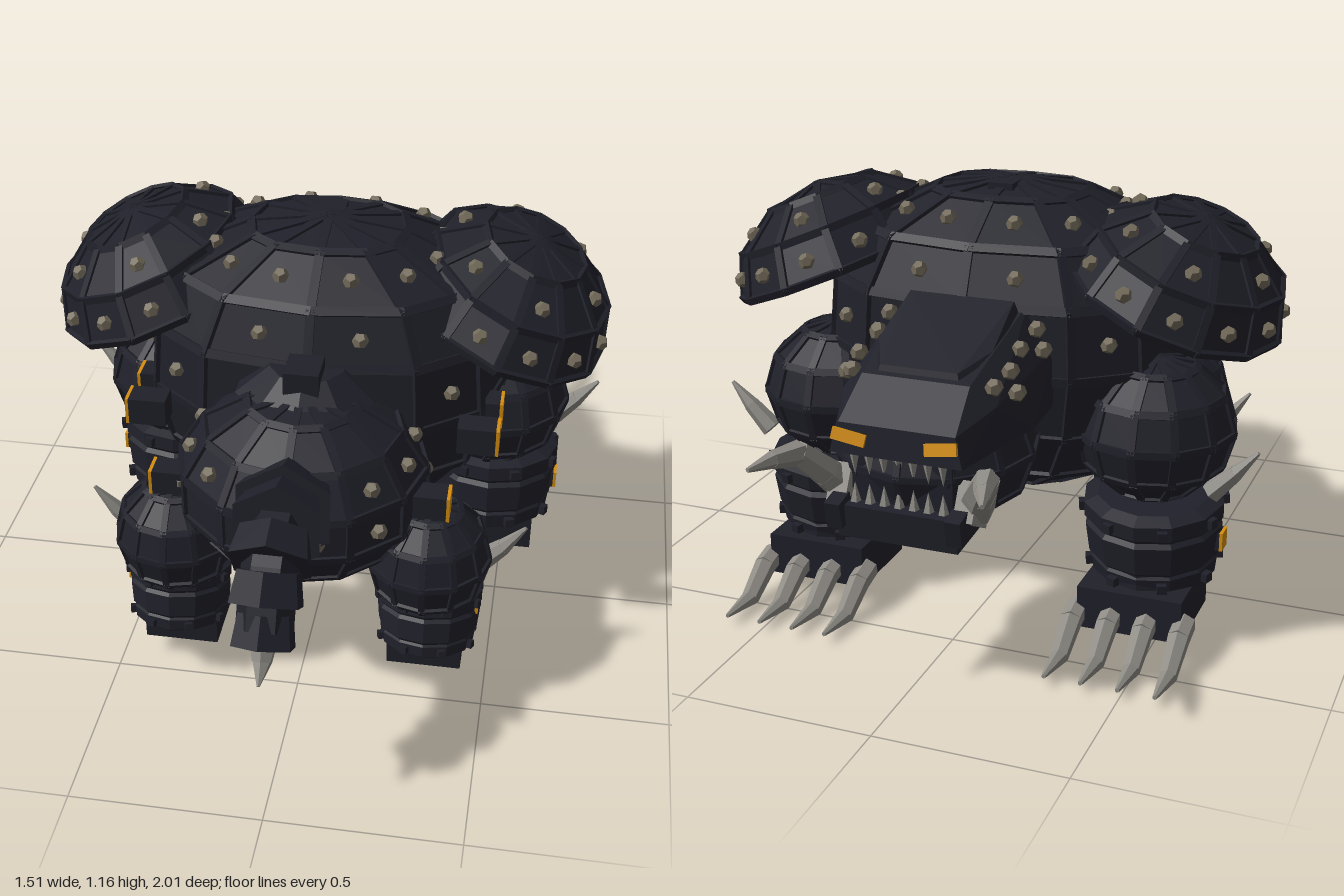
import * as THREE from 'three';
import { mergeGeometries } from 'three/addons/utils/BufferGeometryUtils.js';
import { ConvexGeometry } from 'three/addons/geometries/ConvexGeometry.js';

const V = (x, y, z) => new THREE.Vector3(x, y, z);

export function createModel() {
  const model = new THREE.Group();
  const mat = (name, color) => {
    const m = new THREE.MeshStandardMaterial({ color, flatShading: true, side: THREE.DoubleSide });
    m.name = name;
    return m;
  };
  const armour = mat('armour', 0x20202a);
  const horn = mat('horn', 0x8e8b85);
  const studGrey = mat('stud', 0x736b5a);
  const amber = mat('amber', 0xd68e10);

  const add = (name, geo, material, pos = [0, 0, 0], rot = [0, 0, 0], parent = model) => {
    const m = new THREE.Mesh(geo, material);
    m.name = name;
    m.position.set(...pos);
    m.rotation.set(...rot);
    parent.add(m);
    return m;
  };
  const box = (name, size, pos, material = armour, rot, parent) =>
    add(name, new THREE.BoxGeometry(...size), material, pos, rot, parent);

  // Rib along the edge a-b, facing away from the centre c
  const rib = (a, b, c, w) => {
    const y = b.clone().sub(a), len = y.length();
    if (len < 0.004) return null;
    y.normalize();
    const mid = a.clone().add(b).multiplyScalar(0.5);
    const z = mid.clone().sub(c);
    z.addScaledVector(y, -z.dot(y)).normalize();
    const x = y.clone().cross(z);
    return new THREE.BoxGeometry(w, len, 0.012)
      .applyMatrix4(new THREE.Matrix4().makeBasis(x, y, z).setPosition(mid));
  };

  // Profile of an ellipse from angle a0 up to the pole
  const ellipse = (r, h, n, a0 = -Math.PI / 2) => Array.from({ length: n + 1 }, (_, k) => {
    const a = a0 + (Math.PI / 2 - a0) * k / n;
    return [Math.max(0, r * Math.cos(a)), h * Math.sin(a)];
  });

  // Faceted dome with ribs on its edges; studs = [ring, step, first] lists, power < 1 squares the plan
  const dome = (name, profile, pos, { seg = 12, sz = 1, w = 0.02, power = 1, studs = [], rot = [0, 0, 0] } = {}) => {
    const g = new THREE.Group();
    g.name = name;
    g.position.set(...pos);
    g.rotation.set(...rot);
    model.add(g);
    const swell = v => Math.sign(v) * Math.abs(v) ** power;
    const pt = (i, j) => {
      const a = i / seg * Math.PI * 2, [r, y] = profile[j];
      return V(r * swell(Math.sin(a)), y, r * swell(Math.cos(a)) * sz);
    };
    const shell = new THREE.LatheGeometry(profile.map(p => new THREE.Vector2(...p)), seg);
    const at = shell.attributes.position;
    for (let k = 0; k < at.count; k++) {
      const p = pt(Math.floor(k / profile.length), k % profile.length);
      at.setXYZ(k, p.x, p.y, p.z);
    }
    shell.computeVertexNormals();
    add(name + 'Shell', shell, armour, undefined, undefined, g);
    const c = V(0, (profile[0][1] + profile.at(-1)[1]) / 2, 0), ribs = [];
    for (let i = 0; i < seg; i++) for (let j = 0; j < profile.length; j++) {
      ribs.push(rib(pt(i, j), pt(i + 1, j), c, w));
      if (j) ribs.push(rib(pt(i, j - 1), pt(i, j), c, w));
    }
    add(name + 'Ribs', mergeGeometries(ribs.filter(Boolean)), armour, undefined, undefined, g);
    const bits = [];
    for (const [j, step, first] of studs) for (let i = first; i < seg; i += step) {
      const p = pt(i, j).add(pt(i + 1, j)).add(pt(i, j + 1)).add(pt(i + 1, j + 1)).multiplyScalar(0.25);
      p.addScaledVector(p.clone().sub(c).normalize(), 0.008);
      bits.push(new THREE.DodecahedronGeometry(0.022).translate(p.x, p.y, p.z));
    }
    if (bits.length) add(name + 'Studs', mergeGeometries(bits), studGrey, undefined, undefined, g);
  };

  // Jointed horn tapering along a list of points
  const spike = (name, pts, radii, sides = 6) => {
    const parts = pts.slice(1).map((p, i) => {
      const d = p.clone().sub(pts[i]);
      const q = new THREE.Quaternion().setFromUnitVectors(V(0, 1, 0), d.clone().normalize());
      const m = pts[i].clone().add(p).multiplyScalar(0.5);
      return new THREE.CylinderGeometry(radii[i + 1], radii[i], d.length() * 1.05, sides)
        .applyQuaternion(q).translate(m.x, m.y, m.z);
    });
    add(name, mergeGeometries(parts), horn);
  };

  // Main carapace and rear body
  dome('carapace', [[0, 0.34], [0.2, 0.345], [0.35, 0.42], [0.45, 0.55], [0.49, 0.72], [0.475, 0.9],
    [0.4, 1.035], [0.21, 1.125], [0, 1.155]], [0, 0, -0.05],
  { sz: 0.77, w: 0.024, power: 0.78, studs: [[6, 1, 0], [5, 3, 0], [5, 3, 2], [4, 1, 0]] });
  dome('rearBody', ellipse(0.33, 0.25, 7), [0, 0.62, 0.38], { sz: 0.93, studs: [[4, 1, 0], [3, 2, 1], [3, 4, 0]] });
  box('crestKnob', [0.09, 0.08, 0.1], [0, 0.9, 0.36]);
  box('backKnob', [0.07, 0.02, 0.09], [0, 1.145, -0.1]);
  add('rearCollar', new THREE.CylinderGeometry(0.1, 0.19, 0.07, 10), armour, [0, 0.87, 0.29]);

  // Tail of thick overlapping hexagonal slabs
  const tail = new THREE.CatmullRomCurve3([V(0, 0.7, 0.63), V(0, 0.715, 0.74), V(0, 0.66, 0.845), V(0, 0.55, 0.915)]);
  for (let i = 0; i < 5; i++) {
    const p = tail.getPoint(i / 4), r = 0.134 - i * 0.013;
    const m = add('tailSlab', new THREE.CylinderGeometry(r, r * 0.86, 0.08, 6), armour, p.toArray());
    m.quaternion.setFromUnitVectors(V(0, 1, 0), tail.getTangent(i / 4));
  }
  add('tailCore', new THREE.TubeGeometry(tail, 8, 0.07, 6), armour);
  spike('tailTip', [V(0, 0.54, 0.91), V(0, 0.485, 0.95), V(0, 0.45, 1)], [0.04, 0.026, 0.004]);

  // Head: rounded skull, sloping hood, mouth and jaw
  dome('skull', ellipse(0.25, 0.19, 6), [0, 0.59, -0.57], { w: 0.016 });
  const mirrored = list => list.flatMap(([x, y, z]) => [V(x, y, z), V(-x, y, z)]);
  add('hood', new ConvexGeometry(mirrored([[0.16, 0.91, -0.36], [0.23, 0.8, -0.36], [0.24, 0.66, -0.4],
    [0.14, 0.8, -0.7], [0.2, 0.75, -0.68], [0.25, 0.66, -0.56], [0.15, 0.715, -0.815], [0.17, 0.64, -0.825]])), armour);
  add('hoodPlate', new ConvexGeometry(mirrored([[0.14, 0.925, -0.41], [0.15, 0.89, -0.4],
    [0.15, 0.85, -0.58], [0.1, 0.82, -0.68], [0.11, 0.79, -0.69]])), armour);
  box('mouth', [0.26, 0.16, 0.24], [0, 0.57, -0.67]);
  box('jaw', [0.31, 0.085, 0.25], [0, 0.475, -0.7], armour, [-0.08, 0, 0]);
  for (let i = 0; i < 7; i++) {
    const x = (i - 3) * 0.038;
    add('upperTooth', new THREE.ConeGeometry(0.014, 0.06, 5), horn, [x, 0.612, -0.805], [Math.PI, 0, 0]);
    add('lowerTooth', new THREE.ConeGeometry(0.014, 0.05, 5), horn, [x, 0.54, -0.808]);
  }

  // Ringed lower leg profile, closed at both ends
  const legProfile = [[0, -0.11], [0.15, -0.11], [0.165, -0.1], [0.17, -0.06], [0.164, -0.052], [0.176, -0.04],
    [0.184, 0.04], [0.174, 0.052], [0.187, 0.065], [0.187, 0.105], [0.15, 0.12], [0, 0.12]]
    .map(p => new THREE.Vector2(...p));
  const lowerLeg = (name, pos, k, tilt) => {
    const g = new THREE.Group();
    g.name = name;
    g.position.set(...pos);
    g.rotation.x = tilt;
    g.scale.setScalar(k);
    model.add(g);
    add('legCuff', new THREE.LatheGeometry(legProfile, 12), armour, undefined, undefined, g);
    for (let i = 0; i < 8; i++) for (const y of [-0.08, 0.085]) {
      const a = (i + 0.5) * Math.PI / 4, r = y > 0 ? 0.185 : 0.17;
      box('legBolt', [0.025, 0.025, 0.025], [r * Math.sin(a), y, r * Math.cos(a)], armour, [0, a, 0], g);
    }
  };

  for (const s of [1, -1]) {
    // Tilted shoulder shells, longer than wide
    dome('shoulderShell', ellipse(0.29, 0.22, 3, 0), [s * 0.47, 0.9, -0.105],
      { sz: 1.23, rot: [0, 0, -s * 0.385], studs: [[0, 1, 0], [1, 2, 0]] });

    // Limb joints and lower legs
    dome('shoulder', ellipse(0.21, 0.19, 6), [s * 0.45, 0.56, -0.19], { sz: 1.05 });
    dome('thigh', ellipse(0.16, 0.165, 6), [s * 0.335, 0.43, 0.415], { w: 0.016 });
    lowerLeg('frontLowerLeg', [s * 0.46, 0.275, -0.21], 1, -0.1);
    lowerLeg('hindLowerLeg', [s * 0.34, 0.225, 0.4], 0.75, -0.22);
    add('frontAnkle', new THREE.CylinderGeometry(0.12, 0.12, 0.08, 10), armour, [s * 0.46, 0.17, -0.25]);
    add('hindAnkle', new THREE.CylinderGeometry(0.08, 0.08, 0.08, 10), armour, [s * 0.335, 0.15, 0.37]);

    // Feet and four claws on each
    box('frontFoot', [0.28, 0.115, 0.26], [s * 0.45, 0.11, -0.27]);
    box('hindFoot', [0.2, 0.085, 0.18], [s * 0.335, 0.108, 0.35]);
    for (let i = 0; i < 4; i++) {
      const xf = s * (0.45 + (i - 1.5) * 0.096), xh = s * (0.335 + (i - 1.5) * 0.07);
      spike('frontClaw', [V(xf, 0.1, -0.37), V(xf, 0.085, -0.43), V(xf, 0.027, -0.52), V(xf, 0.032, -0.64)],
        [0.03, 0.03, 0.024, 0.006]);
      spike('hindClaw', [V(xh, 0.1, 0.27), V(xh, 0.09, 0.24), V(xh, 0.05, 0.17), V(xh, 0.055, 0.08)],
        [0.022, 0.022, 0.016, 0.004]);
    }

    // Side spikes
    spike('shoulderSpike', [V(s * 0.63, 0.44, -0.29), V(s * 0.69, 0.5, -0.29), V(s * 0.745, 0.56, -0.29)], [0.03, 0.022, 0.005]);
    spike('thighSpike', [V(s * 0.475, 0.36, 0.325), V(s * 0.525, 0.41, 0.33), V(s * 0.58, 0.48, 0.335)], [0.03, 0.022, 0.005]);

    // Cheek tusks
    box('tuskSocket', [0.05, 0.1, 0.1], [s * 0.165, 0.525, -0.75], horn, [0.5, 0, 0]);
    box('jawHinge', [0.04, 0.07, 0.06], [s * 0.155, 0.49, -0.82], armour, [-0.2, 0, 0]);
    spike('tusk', [V(s * 0.17, 0.51, -0.74), V(s * 0.2, 0.57, -0.79), V(s * 0.24, 0.635, -0.85),
      V(s * 0.265, 0.645, -0.93), V(s * 0.29, 0.643, -1)], [0.045, 0.04, 0.032, 0.022, 0.006]);

    // Slanted eyes and hood studs
    box('eye', [0.085, 0.03, 0.009], [s * 0.118, 0.685, -0.827], amber, [0.25, s * 0.1, s * 0.15]);
    for (const [x, y, z] of [[0.2, 0.86, -0.41], [0.225, 0.815, -0.43], [0.19, 0.835, -0.5], [0.2, 0.81, -0.59],
      [0.225, 0.765, -0.61], [0.185, 0.79, -0.66]])
      add('hoodStud', new THREE.DodecahedronGeometry(0.023), studGrey, [s * x, y, z]);

    // Amber lamps on housings
    for (const [x, y, z, h, w] of [[0.485, 0.705, 0.255, 0.075, 0.07], [0.485, 0.705, 0.125, 0.075, 0.07],
      [0.38, 0.615, 0.44, 0.07, 0.068], [0.642, 0.275, -0.21, 0.05, 0.05], [0.465, 0.275, 0.41, 0.035, 0.045]]) {
      const deep = x > 0.6 || h < 0.04 ? 0.04 : 0.1;
      box('lampHousing', [deep, h, w], [s * (x - deep / 2), y, z]);
      box('lamp', [0.009, h, w], [s * (x + 0.004), y, z], amber);
    }
  }
  return model;
}
